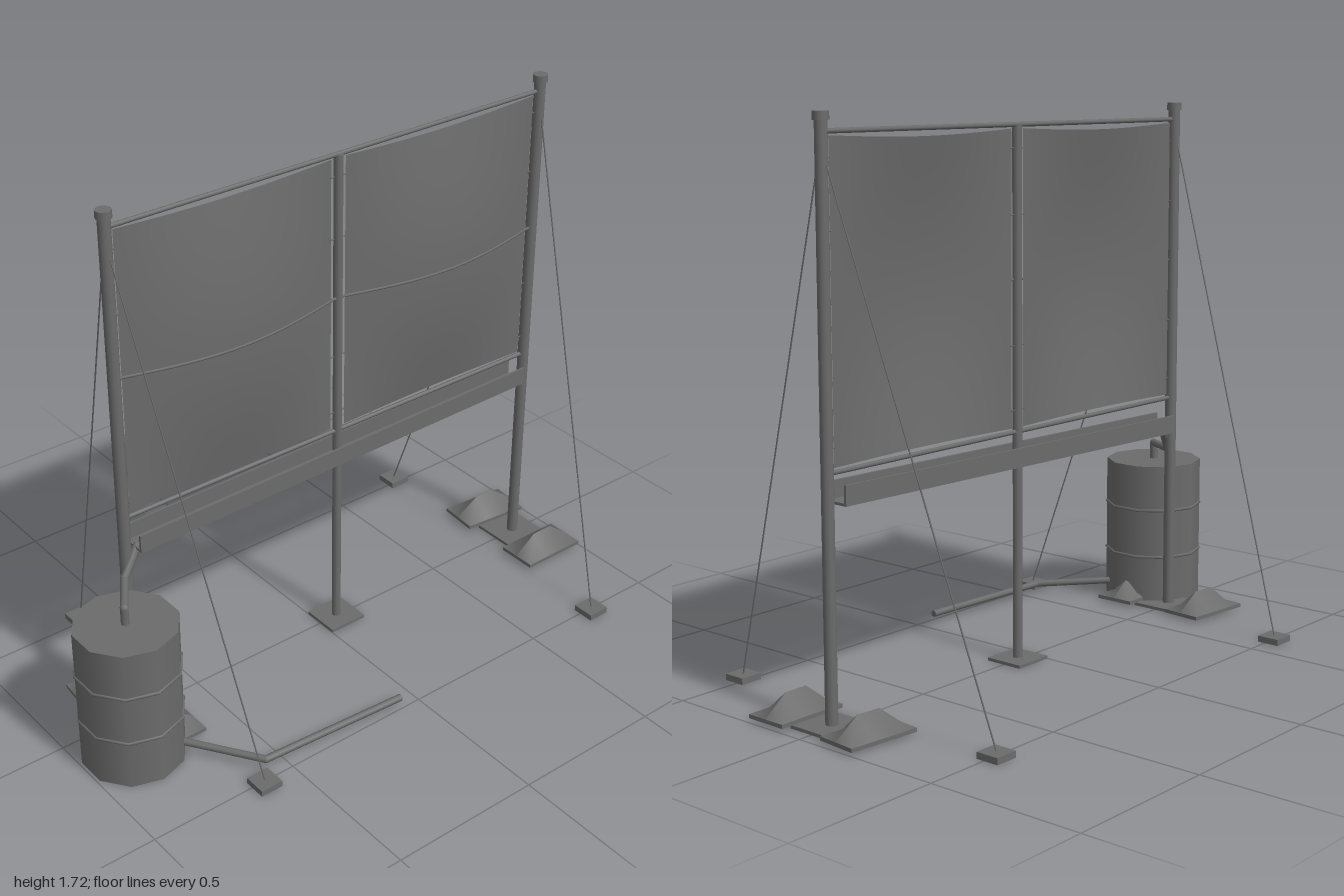
import * as THREE from 'three';

const COLOR = 0x6b6b6b;
const mat = new THREE.MeshStandardMaterial({ color: COLOR });
const cloth = new THREE.MeshStandardMaterial({ color: COLOR, side: THREE.DoubleSide });
const V = (x, y, z) => new THREE.Vector3(x, y, z);

export function createModel() {
  const root = new THREE.Group();
  root.name = 'fogCollector';

  const add = (name, geo, x = 0, y = 0, z = 0, parent = root, material = mat) => {
    const m = new THREE.Mesh(geo, material);
    m.name = name;
    m.position.set(x, y, z);
    parent.add(m);
    return m;
  };
  const group = (name, x = 0, y = 0, z = 0) => {
    const g = new THREE.Group();
    g.name = name;
    g.position.set(x, y, z);
    root.add(g);
    return g;
  };
  const box = (name, w, h, d, x, y, z, parent) => add(name, new THREE.BoxGeometry(w, h, d), x, y, z, parent);

  // Straight round bar between two points
  const rod = (name, a, b, r, sides = 8, parent = root) => {
    const d = b.clone().sub(a);
    const m = add(name, new THREE.CylinderGeometry(r, r, d.length(), sides), 0, 0, 0, parent);
    m.position.copy(a).add(b).multiplyScalar(0.5);
    m.quaternion.setFromUnitVectors(V(0, 1, 0), d.normalize());
  };
  // Pipe with ball joints at its bends
  const pipe = (name, pts, r) => {
    const g = group(name);
    pts.slice(1).forEach((p, i) => {
      rod('pipeRun', pts[i], p, r, 8, g);
      if (i < pts.length - 2) add('pipeElbow', new THREE.SphereGeometry(r * 1.05, 8, 6), p.x, p.y, p.z, g);
    });
  };

  const LEFT = -0.735, MID = 0.068, RIGHT = 0.875;

  // Sandbag: two mirrored slab halves whose shared top edge rises into a ridge
  const half = new THREE.BoxGeometry(0.235, 0.012, 0.069, 3, 1, 1).translate(0, 0, 0.0345);
  const hp = half.attributes.position;
  for (let i = 0; i < hp.count; i++) {
    if (hp.getY(i) > 0 && Math.abs(hp.getX(i)) < 0.1 && hp.getZ(i) < 0.01) hp.setY(i, 0.066);
  }
  half.computeVertexNormals();
  const sandbag = (name, x, z, turn) => {
    const g = group(name, x, 0.016, z);
    g.rotation.y = turn;
    for (const a of [0, Math.PI]) add('sandbagHalf', half, 0, 0, 0, g).rotation.y = a;
  };

  // End posts with caps, foot plates, sandbags, guy lines and anchors
  for (const [x, anchorX] of [[LEFT, -0.615], [RIGHT, 0.755]]) {
    rod('endPost', V(x, 0, 0), V(x, 1.71, 0), 0.019, 12);
    add('postCap', new THREE.CylinderGeometry(0.024, 0.024, 0.024, 12), x, 1.712, 0);
    box('footPlate', 0.16, 0.01, 0.17, x, 0.005, 0);
    sandbag('frontSandbag', x, 0.147, 0);
    sandbag('backSandbag', x, -0.147, -0.09);
    for (const s of [1, -1]) {
      box('guyAnchor', 0.075, 0.02, 0.075, anchorX, 0.01, s * 0.512);
      rod('guyLine', V(x, 1.6, s * 0.012), V(anchorX, 0.02, s * 0.512), 0.0025, 5);
    }
  }

  // Centre post and its plate
  rod('centrePost', V(MID, 0, 0), V(MID, 1.67, 0), 0.015, 10);
  box('centrePlate', 0.135, 0.01, 0.13, MID, 0.005, 0);

  // Horizontal rails
  for (const y of [1.67, 0.732]) rod('rail', V(LEFT, y, 0), V(RIGHT, y, 0), 0.0075);

  // Billowing mesh panels with a strap across the front and side ties
  const bulge = (u, v) => 0.05 * Math.sin(Math.PI * u) * Math.sin(Math.PI * v);
  for (const [x0, x1, pa, pb] of [[-0.71, 0.041, LEFT, MID], [0.095, 0.848, MID, RIGHT]]) {
    const g = new THREE.PlaneGeometry(1, 1, 20, 20);
    const p = g.attributes.position;
    for (let i = 0; i < p.count; i++) {
      const u = p.getX(i) + 0.5, v = p.getY(i) + 0.5;
      const s = Math.sin(Math.PI * u);
      const low = 0.744 + 0.006 * s, high = 1.658 - 0.012 * s;
      p.setXYZ(i, x0 + (x1 - x0) * u, low + (high - low) * v, bulge(u, v));
    }
    g.computeVertexNormals();
    add('meshPanel', g, 0, 0, 0, root, cloth);

    const pts = [V(pa, 1.204, 0.005)];
    for (let i = 0; i <= 12; i++) {
      const u = i / 12;
      pts.push(V(x0 + (x1 - x0) * u, 1.202 - 0.008 * Math.sin(Math.PI * u), bulge(u, 0.5) + 0.0055));
    }
    pts.push(V(pb, 1.204, 0.005));
    add('strap', new THREE.TubeGeometry(new THREE.CatmullRomCurve3(pts), 40, 0.0045, 6));

    for (const y of [0.8, 1.0, 1.4, 1.6]) {
      rod('sideTie', V(pa, y, 0), V(x0 + 0.004, y, 0), 0.002, 5);
      rod('sideTie', V(x1 - 0.004, y, 0), V(pb, y, 0), 0.002, 5);
    }
  }

  // Sloping U-shaped gutter
  const gutter = group('gutter', 0.07, 0.633, 0);
  gutter.rotation.z = 0.0142;
  box('gutterFloor', 1.55, 0.008, 0.084, 0, 0, 0, gutter);
  for (const s of [1, -1]) box('gutterWall', 1.55, 0.06, 0.008, 0, 0.026, s * 0.038, gutter);

  // Ten-sided barrel with two matching hoops
  const bx = -0.836, bz = 0.144;
  add('barrel', new THREE.CylinderGeometry(0.1625, 0.1625, 0.485, 10), bx, 0.2425, bz);
  const hoop = new THREE.TorusGeometry(0.162, 0.0055, 6, 10).rotateZ(Math.PI / 10).rotateX(Math.PI / 2);
  for (const y of [0.165, 0.33]) add('barrelHoop', hoop, bx, y, bz);

  // Pipe from gutter to barrel, and outlet along the ground
  pipe('inletPipe', [V(-0.838, 0.47, 0.145), V(-0.838, 0.54, 0.145), V(-0.762, 0.545, 0.03), V(-0.69, 0.625, 0)], 0.013);
  pipe('outletPipe', [V(-0.76, 0.05, 0.2), V(-0.565, 0.03, 0.452), V(-0.06, 0.028, 0.482)], 0.0115);

  return root;
}
